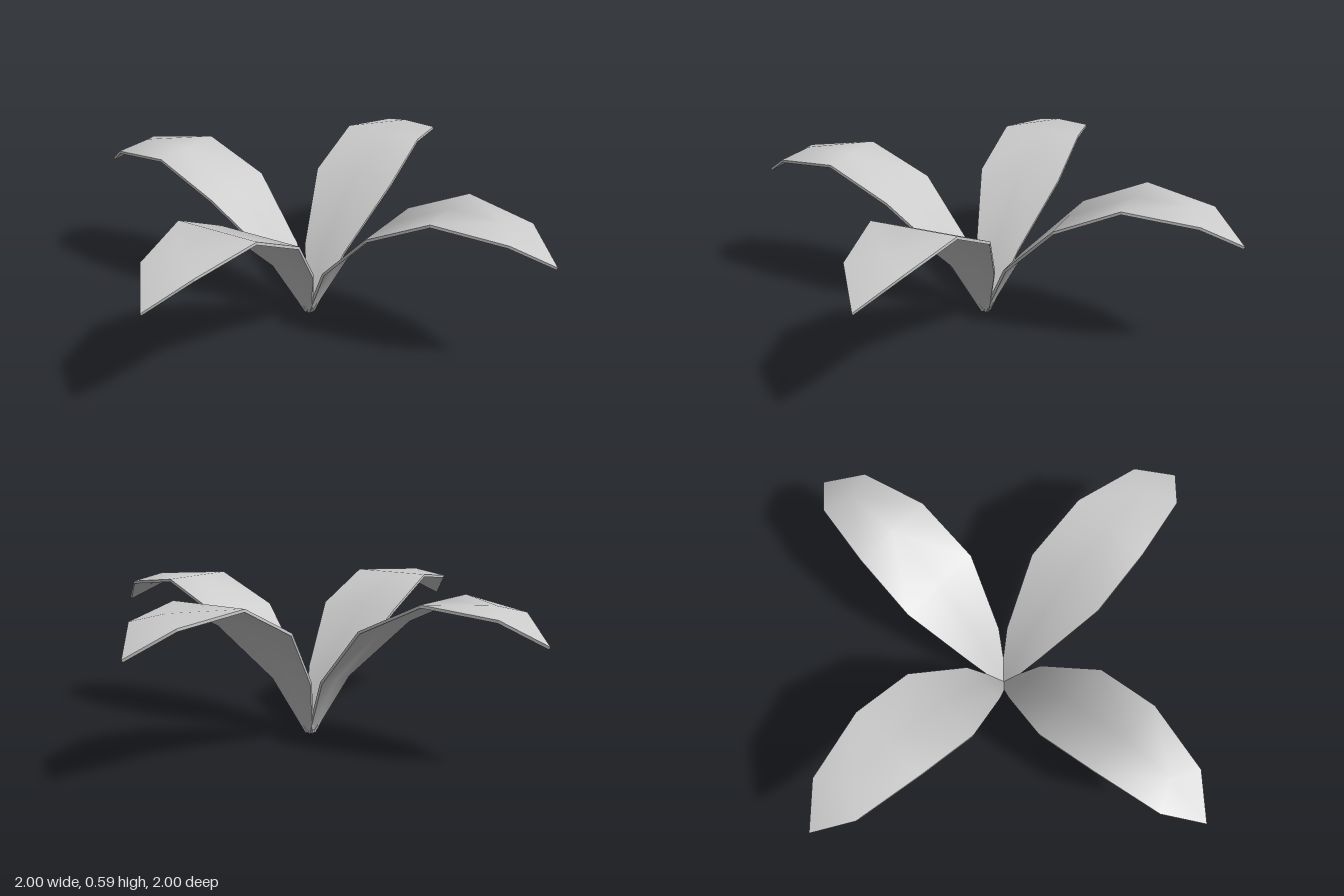
import * as THREE from 'three';
import { mergeGeometries } from 'three/addons/utils/BufferGeometryUtils.js';

// Leaf cross-sections: edge reach, edge height, half width, midrib reach, midrib height
const SECTIONS = [
  [0.0, 0.006, 0.018, 0.0, 0.006],
  [0.115, 0.24, 0.092, 0.115, 0.24],
  [0.34, 0.472, 0.172, 0.34, 0.472],
  [0.59, 0.59, 0.165, 0.59, 0.59],
  [0.86, 0.556, 0.11, 0.8, 0.586],
];
const TIP = [1.0, 0.464];
const THICKNESS = 0.011;

function indexed(points, index) {
  const g = new THREE.BufferGeometry();
  g.setAttribute('position', new THREE.Float32BufferAttribute(points.flatMap(p => p.toArray()), 3));
  g.setIndex(index);
  g.computeVertexNormals();
  return g;
}

// One leaf growing along +z: smooth upper and lower faces joined by a thin rim
function leafGeometry() {
  const last = SECTIONS.length;
  const id = (i, j) => (i < last ? 3 * i + j : 3 * last);
  const path = [...SECTIONS.map(s => [s[0], s[1]]), TIP];
  const upper = [], lower = [];
  const add = (x, y, z, i) => {
    const a = path[Math.max(i - 1, 0)], b = path[Math.min(i + 1, last)];
    const dz = b[0] - a[0], dy = b[1] - a[1], k = THICKNESS / Math.hypot(dz, dy);
    upper.push(new THREE.Vector3(x, y, z));
    lower.push(new THREE.Vector3(x, y - dz * k, z + dy * k));
  };
  SECTIONS.forEach(([r, y, w, mr, my], i) => {
    add(-w, y, r, i);
    add(0, my, mr, i);
    add(w, y, r, i);
  });
  add(0, TIP[1], TIP[0], last);

  // Blade triangles, mirrored about the midrib
  const faces = [];
  const tri = (a, b, c) => { if (a !== b && b !== c && c !== a) faces.push(a, b, c); };
  for (let i = 0; i < last; i++) {
    const [l, m, r] = [0, 1, 2].map(j => id(i, j));
    const [l2, m2, r2] = [0, 1, 2].map(j => id(i + 1, j));
    tri(l, l2, m2);
    tri(l, m2, m);
    tri(m, m2, r);
    tri(m2, r2, r);
  }

  // Rim: up the left edge, over the tip, down the right edge, across the base
  const loop = [];
  for (let i = 0; i <= last; i++) loop.push(id(i, 0));
  for (let i = last - 1; i >= 0; i--) loop.push(id(i, 2));
  const rim = [], rimIndex = [];
  loop.forEach((p, n) => {
    const q = loop[(n + 1) % loop.length], k = rim.length;
    rim.push(upper[p], lower[p], lower[q], upper[q]);
    rimIndex.push(k, k + 1, k + 2, k, k + 2, k + 3);
  });

  return mergeGeometries([
    indexed(upper, faces),
    indexed(lower, [...faces].reverse()),
    indexed(rim, rimIndex),
  ]);
}

export function createModel() {
  const plant = new THREE.Group();
  plant.name = 'plant';
  const geometry = leafGeometry();
  const material = new THREE.MeshStandardMaterial({ color: 0xcccccc, side: THREE.DoubleSide });
  ['frontLeaf', 'leftLeaf', 'backLeaf', 'rightLeaf'].forEach((name, i) => {
    const leaf = new THREE.Mesh(geometry, material);
    leaf.name = name;
    leaf.rotation.y = i * Math.PI / 2;
    plant.add(leaf);
  });
  return plant;
}
